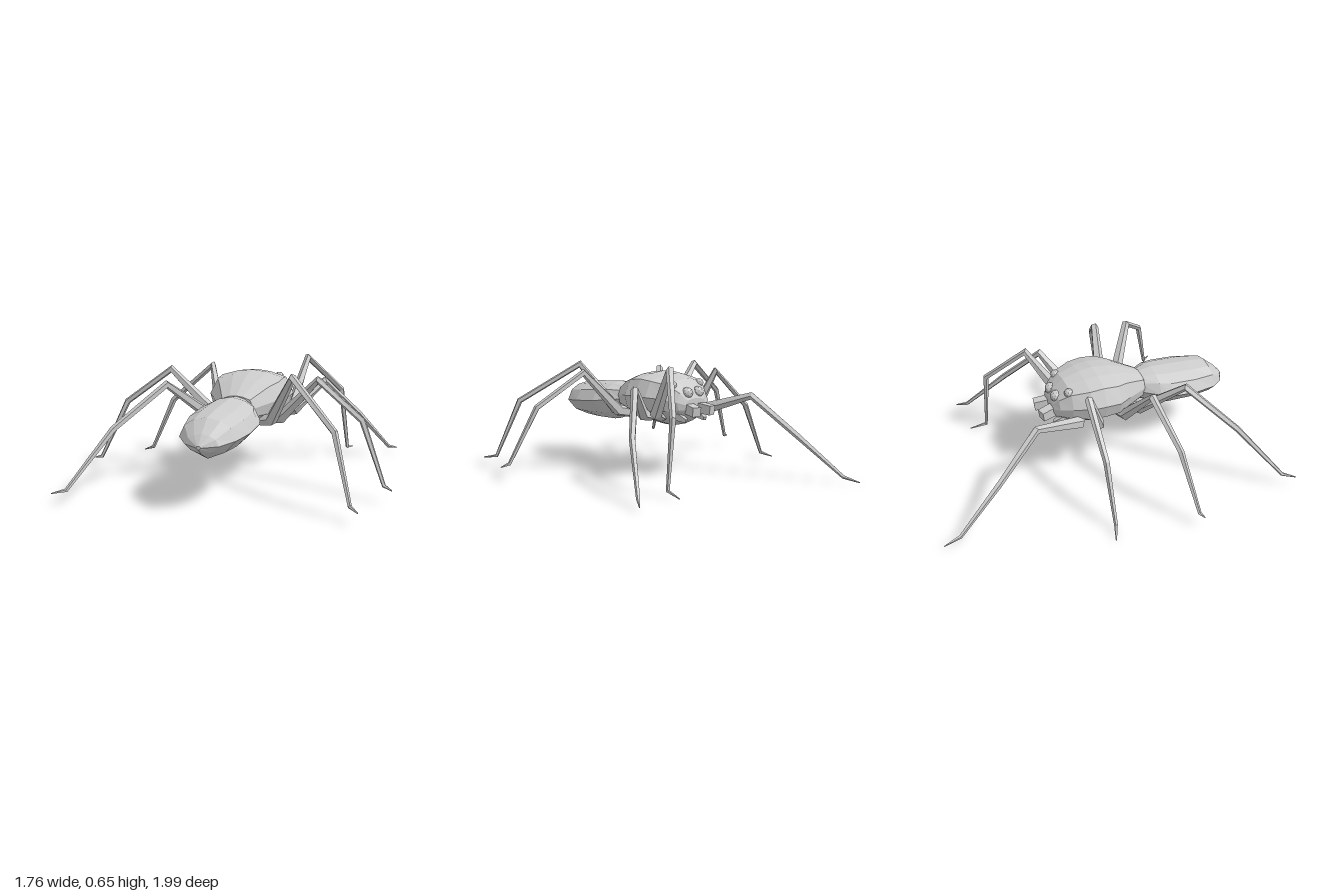
import * as THREE from 'three';

const material = new THREE.MeshStandardMaterial({ color: 0xcccccc, flatShading: true });
const V = (x, y, z) => new THREE.Vector3(x, y, z);

// Skin a row of equal-length rings and close both ends with fans
function loft(name, rings) {
  const pos = [];
  const tri = (...pts) => pts.forEach(p => pos.push(p.x, p.y, p.z));
  const n = rings[0].length;
  const centre = r => r.reduce((s, p) => s.add(p), V(0, 0, 0)).divideScalar(n);
  const first = rings[0], last = rings[rings.length - 1];
  const c0 = centre(first), c1 = centre(last);
  for (let i = 0; i < n; i++) {
    const j = (i + 1) % n;
    for (let k = 0; k < rings.length - 1; k++) {
      const a = rings[k], b = rings[k + 1];
      tri(a[i], a[j], b[j]);
      tri(a[i], b[j], b[i]);
    }
    tri(c0, first[j], first[i]);
    tri(c1, last[i], last[j]);
  }
  const geo = new THREE.BufferGeometry();
  geo.setAttribute('position', new THREE.Float32BufferAttribute(pos, 3));
  geo.computeVertexNormals();
  const mesh = new THREE.Mesh(geo, material);
  mesh.name = name;
  return mesh;
}

// Body shell: half profile (top to bottom) mirrored, scaled at each station
// station: [z, half width, top y, widest y, bottom y]
function shell(name, half, stations) {
  const left = half.slice(1, -1).map(([x, y]) => [-x, y]);
  const loop = [...half.slice().reverse(), ...left];
  return loft(name, stations.map(([z, w, top, mid, low]) =>
    loop.map(([x, y]) => V(x * w, mid + y * (y > 0 ? top - mid : mid - low), z))));
}

// Bent, tapered limb along a list of points
function limb(name, points, radii, sides = 5) {
  const pts = points.map(p => V(...p));
  const end = pts[pts.length - 1];
  const side = V(end.z - pts[0].z, 0, pts[0].x - end.x).normalize();
  const rings = pts.map((p, k) => {
    const t = V(0, 0, 0);
    if (k > 0) t.add(p.clone().sub(pts[k - 1]).normalize());
    if (k < pts.length - 1) t.add(pts[k + 1].clone().sub(p).normalize());
    t.normalize();
    const u = side.clone().addScaledVector(t, -side.dot(t)).normalize();
    const v = t.clone().cross(u);
    return Array.from({ length: sides }, (_, i) => {
      const a = (i + 0.5) / sides * Math.PI * 2;
      return p.clone().addScaledVector(u, Math.cos(a) * radii[k]).addScaledVector(v, Math.sin(a) * radii[k]);
    });
  });
  return loft(name, rings);
}

export function createModel() {
  const spider = new THREE.Group();
  spider.name = 'spider';

  // Head and thorax
  spider.add(shell('carapace',
    [[0, 1], [0.38, 0.95], [0.8, 0.8], [1, 0.3], [0.9, -0.2], [0.5, -0.7], [0, -1]],
    [
      [-0.215, 0.08, 0.46, 0.41, 0.35],
      [-0.19, 0.125, 0.51, 0.41, 0.33],
      [-0.13, 0.175, 0.565, 0.41, 0.305],
      [-0.03, 0.222, 0.59, 0.41, 0.283],
      [0.05, 0.23, 0.6, 0.41, 0.285],
      [0.14, 0.227, 0.59, 0.41, 0.3],
      [0.21, 0.183, 0.57, 0.41, 0.305],
      [0.35, 0.1, 0.505, 0.41, 0.32],
    ]));

  // Abdomen
  spider.add(shell('abdomen',
    [[0, 1], [0.45, 0.87], [0.8, 0.6], [1, 0.05], [0.6, -0.6], [0, -1]],
    [
      [0.33, 0.095, 0.5, 0.41, 0.32],
      [0.43, 0.16, 0.515, 0.4, 0.28],
      [0.5, 0.183, 0.51, 0.39, 0.268],
      [0.66, 0.183, 0.5, 0.38, 0.266],
      [0.79, 0.152, 0.485, 0.37, 0.273],
      [0.87, 0.09, 0.42, 0.36, 0.315],
      [0.915, 0.012, 0.37, 0.36, 0.35],
    ]));

  // Legs: hip, knee, shin bend, ankle, tip
  const legs = {
    left: [
      [[0.2, 0.375, -0.1], [0.25, 0.635, -0.265], [0.42, 0.41, -0.465], [0.465, 0.04, -0.475], [0.48, 0.02, -0.575]],
      [[0.23, 0.37, -0.02], [0.385, 0.525, -0.13], [0.56, 0.3, -0.31], [0.715, 0.05, -0.53], [0.76, 0.03, -0.59]],
      [[0.22, 0.37, 0.2], [0.435, 0.6, 0.255], [0.695, 0.415, 0.345], [0.83, 0.1, 0.43], [0.875, 0.083, 0.45]],
      [[0.18, 0.37, 0.28], [0.335, 0.635, 0.42], [0.61, 0.42, 0.65], [0.715, 0.085, 0.755], [0.765, 0.077, 0.815]],
    ],
    right: [
      [[-0.18, 0.37, -0.1], [-0.28, 0.465, -0.39], [-0.385, 0.25, -0.645], [-0.472, 0.04, -0.9], [-0.49, 0.02, -0.995]],
      [[-0.225, 0.36, 0], [-0.295, 0.59, -0.09], [-0.56, 0.36, -0.1], [-0.71, 0.04, -0.105], [-0.785, 0.008, -0.137]],
      [[-0.2, 0.365, 0.18], [-0.43, 0.61, 0.225], [-0.69, 0.415, 0.27], [-0.84, 0.085, 0.33], [-0.878, 0.08, 0.342]],
      [[-0.17, 0.365, 0.28], [-0.355, 0.57, 0.47], [-0.565, 0.36, 0.7], [-0.725, 0.08, 0.935], [-0.775, 0.077, 0.995]],
    ],
  };
  for (const [side, list] of Object.entries(legs)) {
    list.forEach((path, i) => {
      const [x, , z] = path[0];
      const socket = [x * 0.6, 0.35, z * 0.8 + 0.015];
      spider.add(limb(`${side}Leg${i + 1}`, [socket, ...path], [0.03, 0.036, 0.023, 0.018, 0.011, 0.003]));
    });
  }

  // Eyes, jaws and feelers, mirrored
  for (const s of [1, -1]) {
    for (const [x, y, z, r] of [[0.043, 0.49, -0.188, 0.034], [0.108, 0.535, -0.135, 0.026]]) {
      const eye = new THREE.Mesh(new THREE.IcosahedronGeometry(r, 1), material);
      eye.name = 'eye';
      eye.position.set(s * x, y, z);
      spider.add(eye);
    }
    spider.add(limb('jaw',
      [[s * 0.04, 0.41, -0.17], [s * 0.048, 0.4, -0.22], [s * 0.062, 0.39, -0.285]],
      [0.036, 0.04, 0.038], 4));
    spider.add(limb('feeler',
      [[s * 0.09, 0.37, -0.12], [s * 0.085, 0.35, -0.18], [s * 0.075, 0.335, -0.215]],
      [0.03, 0.026, 0.014], 4));
  }
  return spider;
}
